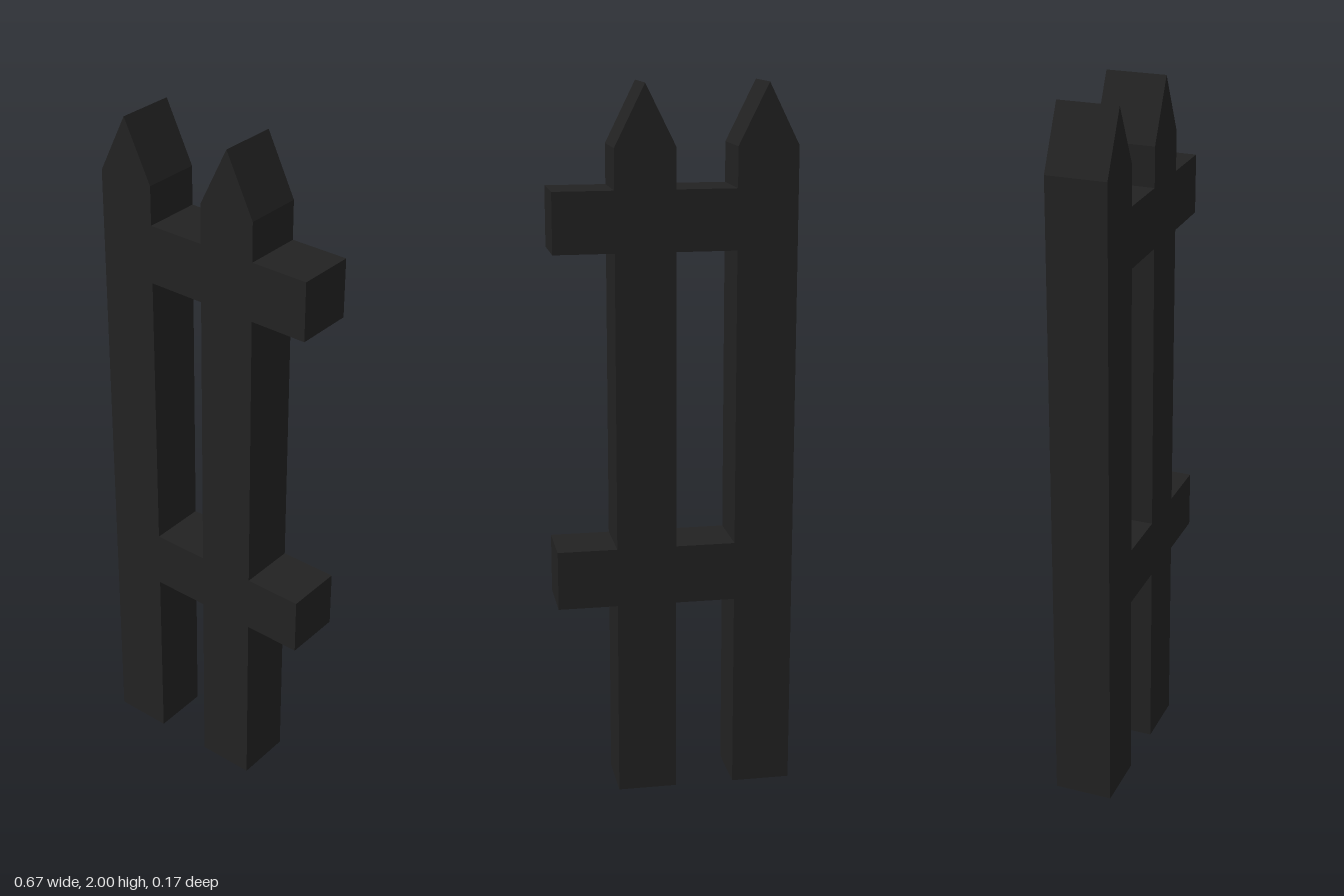
import * as THREE from 'three';

const W = 1 / 6;        // width and depth of every bar
const HEIGHT = 2;
const SHOULDER = 1.833; // where the picket point begins

export function createModel() {
  const group = new THREE.Group();
  group.name = 'picketFence';
  const material = new THREE.MeshStandardMaterial({ color: 0x222222, flatShading: true });

  // Picket outline: straight post with a gabled point
  const outline = new THREE.Shape([
    new THREE.Vector2(-W / 2, 0),
    new THREE.Vector2(W / 2, 0),
    new THREE.Vector2(W / 2, SHOULDER),
    new THREE.Vector2(0, HEIGHT),
    new THREE.Vector2(-W / 2, SHOULDER),
  ]);
  const picketGeometry = new THREE.ExtrudeGeometry(outline, { depth: W, bevelEnabled: false });
  picketGeometry.translate(0, 0, -W / 2);

  // Rail piece filling the gap beside a picket, flush front and back
  const railGeometry = new THREE.BoxGeometry(W, W, W);

  const addPart = (name, geometry, x, y) => {
    const mesh = new THREE.Mesh(geometry, material);
    mesh.name = name;
    mesh.position.set(x, y, 0);
    group.add(mesh);
  };

  // Each picket carries a lower and an upper rail piece on its left (+x) side
  [['right', -1.5 * W], ['left', 0.5 * W]].forEach(([side, x]) => {
    addPart(`${side}Picket`, picketGeometry, x, 0);
    addPart(`${side}LowerRail`, railGeometry, x + W, 0.646);
    addPart(`${side}UpperRail`, railGeometry, x + W, 1.639);
  });

  return group;
}
